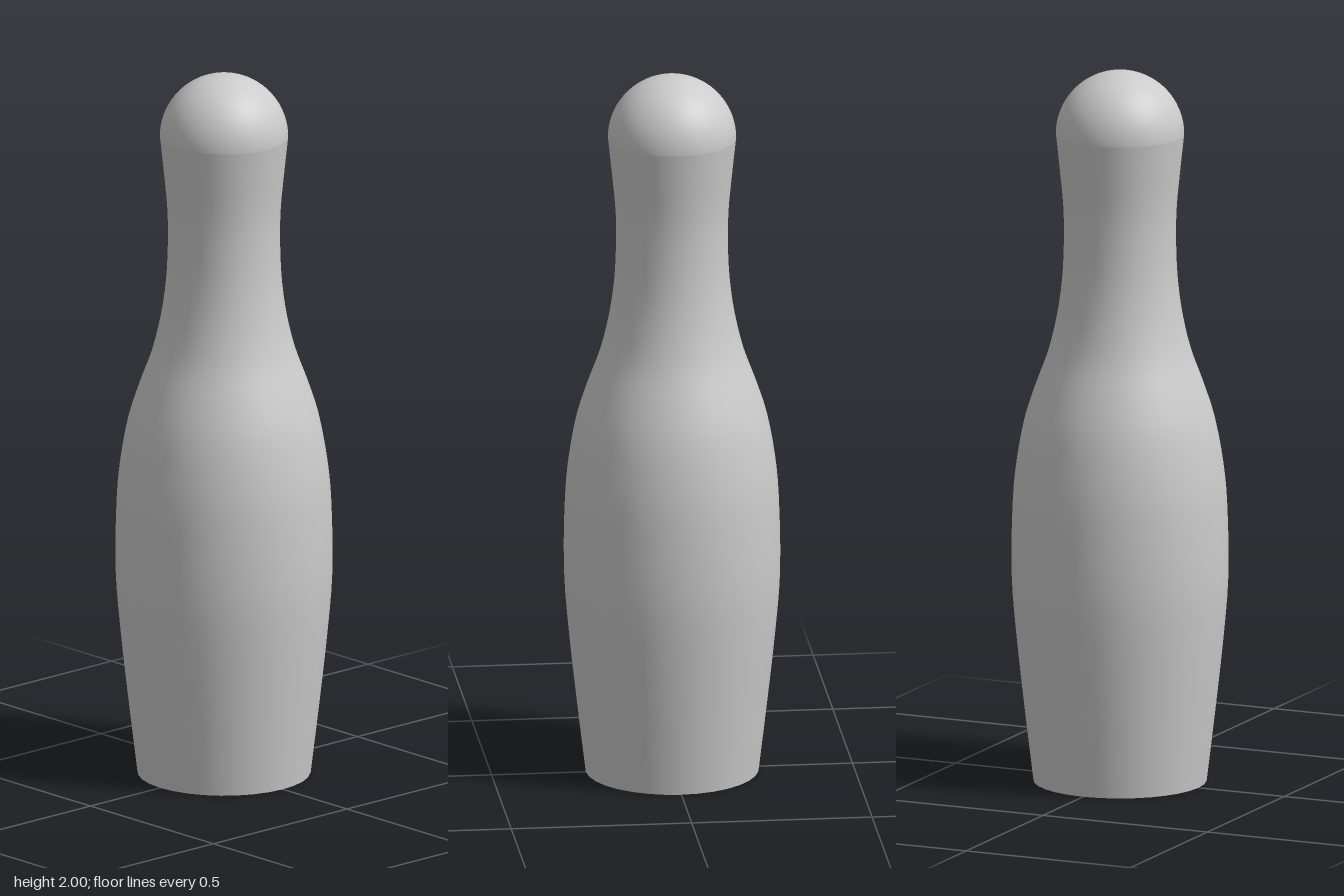
import * as THREE from 'three';

const HEAD_RADIUS = 0.177;
const HEAD_Y = 2 - HEAD_RADIUS;

export function createModel() {
  const group = new THREE.Group();
  const material = new THREE.MeshStandardMaterial({ color: 0xcccccc });

  const add = (name, geometry) => {
    const mesh = new THREE.Mesh(geometry, material);
    mesh.name = name;
    group.add(mesh);
    return mesh;
  };

  // Belly and neck: one smooth turned profile, [radius, height]
  const profile = [
    [0.239, 0], [0.263, 0.2], [0.285, 0.4], [0.299, 0.58], [0.296, 0.78],
    [0.285, 0.9], [0.263, 1.02], [0.231, 1.12], [0.198, 1.21], [0.174, 1.31],
    [0.160, 1.41], [0.155, 1.51], [0.156, 1.61], [0.165, 1.71], [HEAD_RADIUS, HEAD_Y],
  ].map(([r, y]) => new THREE.Vector2(r, y));
  add('body', new THREE.LatheGeometry(new THREE.SplineCurve(profile).getPoints(42), 32));

  // Domed head
  const head = add('head', new THREE.SphereGeometry(HEAD_RADIUS, 64, 20, 0, Math.PI * 2, 0, Math.PI / 2));
  head.position.y = HEAD_Y;

  // Flat underside
  const base = add('base', new THREE.CircleGeometry(profile[0].x, 32));
  base.rotation.x = Math.PI / 2;

  return group;
}
